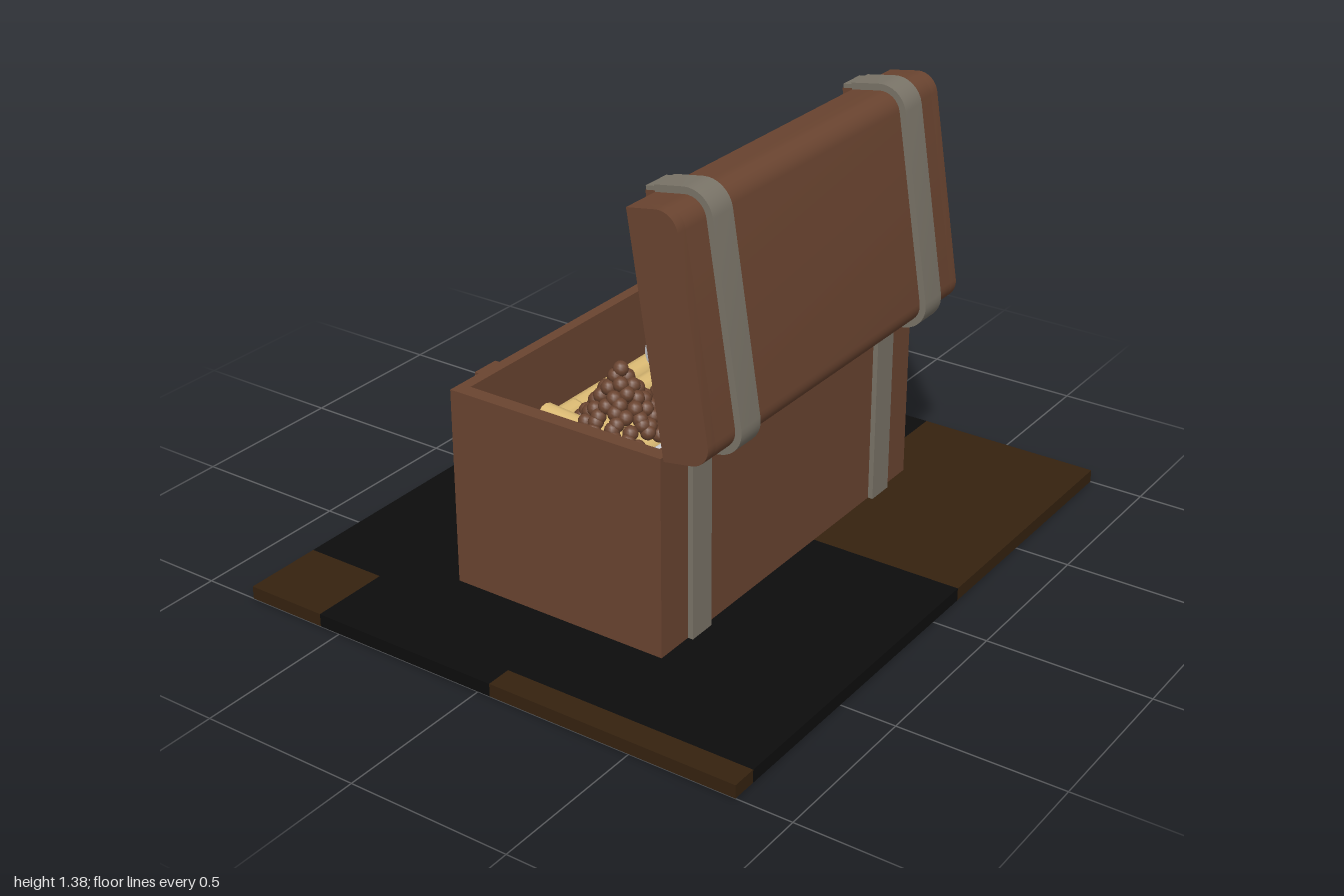
import * as THREE from 'three';
import { toCreasedNormals } from 'three/addons/utils/BufferGeometryUtils.js';

const material = (name, color) => {
  const m = new THREE.MeshStandardMaterial({ color });
  m.name = name;
  return m;
};

export function createModel() {
  const wood = material('wood', 0x6a4430);
  const darkWood = material('darkWood', 0x3a2416);
  const iron = material('iron', 0x7a7468);
  const gold = material('gold', 0xdcbb74);
  const silver = material('silver', 0xd6d8de);
  const earth = material('earth', 0x35220f);
  const black = material('black', 0x0d0d0d);

  const model = new THREE.Group();
  model.name = 'treasureChest';

  const add = (parent, name, geometry, mat, x = 0, y = 0, z = 0) => {
    const mesh = new THREE.Mesh(geometry, mat);
    mesh.name = name;
    mesh.position.set(x, y, z);
    parent.add(mesh);
    return mesh;
  };
  const addGroup = (parent, name, x = 0, y = 0, z = 0) => {
    const g = new THREE.Group();
    g.name = name;
    g.position.set(x, y, z);
    parent.add(g);
    return g;
  };
  const box = (w, h, d) => new THREE.BoxGeometry(w, h, d);
  let seed = 7;
  const random = () => (seed = (seed * 16807) % 2147483647) / 2147483647;

  // Ground slab, tiled from earth and black pieces: x0, x1, z0, z1
  const ground = addGroup(model, 'groundSlab');
  const tile = (mat) => ([x0, x1, z0, z1]) =>
    add(ground, 'slabPiece', box(x1 - x0, 0.04, z1 - z0), mat, (x0 + x1) / 2, 0.02, (z0 + z1) / 2);
  [[-0.83, -0.34, -1, -0.05], [0.24, 0.83, -1, -0.14],
    [-0.83, -0.57, 0.75, 1], [0.04, 0.83, 0.92, 1]].forEach(tile(earth));
  [[-0.34, 0.24, -1, -0.14], [-0.34, 0.83, -0.14, -0.05], [-0.83, 0.83, -0.05, 0.75],
    [-0.57, 0.83, 0.75, 0.92], [-0.57, 0.04, 0.92, 1]].forEach(tile(black));

  // Open chest body
  const body = addGroup(model, 'chestBody');
  const rect = (Type, w, d) => new Type([[-w, -d], [w, -d], [w, d], [-w, d]].map(([x, y]) => new THREE.Vector2(x, y)));
  const walls = rect(THREE.Shape, 0.355, 0.65);
  walls.holes.push(rect(THREE.Path, 0.32, 0.605));
  const wallGeometry = new THREE.ExtrudeGeometry(walls, { depth: 0.61, bevelEnabled: false });
  wallGeometry.rotateX(-Math.PI / 2);
  add(body, 'walls', wallGeometry, wood, 0, 0.05, 0);
  add(body, 'floor', box(0.64, 0.03, 1.21), wood, 0, 0.065, 0);
  for (const z of [-0.48, 0.48]) {
    for (const side of [-1, 1]) {
      add(body, 'bodyBand', box(0.016, 0.6, 0.09), iron, side * 0.363, 0.35, z);
      add(body, 'bandCap', box(0.016, 0.009, 0.09), wood, side * 0.363, 0.6545, z);
    }
    add(body, 'hinge', box(0.04, 0.025, 0.09), wood, 0.355, 0.665, z);
  }

  // Lid, leaning back from its hinge
  const lid = addGroup(model, 'lid', 0.365, 0.655, 0);
  lid.rotation.z = 0.16;
  const L = 0.695, T = 0.15, R = 0.06;
  const outline = (offset) => {
    const r = R + offset, cx = T - R, points = [new THREE.Vector2(0, -offset)];
    for (const [cy, start] of [[R, -Math.PI / 2], [L - R, 0]]) {
      for (let i = 0; i <= 8; i++) {
        const a = start + (i / 8) * Math.PI / 2;
        points.push(new THREE.Vector2(cx + r * Math.cos(a), cy + r * Math.sin(a)));
      }
    }
    points.push(new THREE.Vector2(0, L + offset));
    return points;
  };
  const slice = (points, depth) => {
    const g = new THREE.ExtrudeGeometry(new THREE.Shape(points), { depth, bevelEnabled: false });
    g.translate(0, 0, -depth / 2);
    return toCreasedNormals(g, 0.6);
  };
  const shell = (outer, inner, depth) => slice([...outline(outer), ...outline(inner).reverse()], depth);
  add(lid, 'lidShell', shell(0, -0.035, 1.23), wood);
  for (const s of [-1, 1]) {
    add(lid, 'lidEnd', slice(outline(0), 0.035), wood, 0, 0, s * 0.6325);
    add(lid, 'lidBand', shell(0.02, 0, 0.09), iron, 0, 0, s * 0.48);
    add(lid, 'claspPlate', box(0.03, 0.012, 0.09), iron, -0.012, L + 0.01, s * 0.48);
    add(lid, 'clasp', box(0.035, 0.025, 0.08), wood, -0.017, L - 0.01, s * 0.48);
  }

  // Painted crossed bones and skull on the -x side
  const emblem = addGroup(model, 'emblem', -0.355, 0.31, 0.0);
  emblem.rotation.y = -Math.PI / 2;
  const disc = (r) => new THREE.CylinderGeometry(r, r, 0.006, 16).rotateX(Math.PI / 2);
  const bone = (name, mat, angle, lift) => {
    const g = addGroup(emblem, name, 0, 0, lift);
    g.rotation.z = angle;
    add(g, 'shaft', box(0.4, 0.05, 0.006), mat);
    for (const s of [-1, 1]) for (const t of [-1, 1]) add(g, 'knob', disc(0.038), mat, s * 0.2, t * 0.032, 0);
  };
  bone('darkBone', darkWood, 0.5, 0.001);
  bone('lightBone', iron, -0.45, 0.002);
  add(emblem, 'skull', disc(0.085), iron, 0, 0.03, 0.003);
  add(emblem, 'jaw', box(0.09, 0.07, 0.006), iron, 0, -0.06, 0.003);
  for (const s of [-1, 1]) add(emblem, 'eye', disc(0.02), darkWood, s * 0.035, 0.03, 0.004);

  // Rows of ingots filling the chest
  const contents = addGroup(model, 'treasure');
  add(contents, 'goldFill', box(0.63, 0.34, 1.13), gold, 0, 0.25, 0.005);
  const ingot = new THREE.CylinderGeometry(0.038, 0.038, 0.182, 12).rotateX(Math.PI / 2);
  const silverSpots = ['0,0', '6,0', '3,3', '5,4', '0,5', '6,5'];
  for (let row = 0; row < 6; row++) {
    for (let col = 0; col < 8; col++) {
      const mat = silverSpots.includes(`${col},${row}`) ? silver : gold;
      add(contents, 'ingot', ingot, mat, -0.272 + col * 0.0755, 0.43, -0.457 + row * 0.187);
    }
  }

  // Three heaps of round nuggets and a few strays: x, z, peak height
  const nugget = new THREE.SphereGeometry(0.023, 12, 8);
  for (const [cx, cz, peak, count] of [[0.03, -0.31, 0.62, 75], [0.02, -0.04, 0.62, 95], [-0.03, 0.3, 0.675, 85]]) {
    for (let i = 0; i < count; i++) {
      const r = 0.14 * Math.sqrt(i / count), a = i * 2.4 + random() * 0.4;
      const y = 0.48 + (peak - 0.48) * (1 - r / 0.14);
      add(contents, 'nugget', nugget, wood, cx + r * Math.cos(a), y, cz + r * Math.sin(a));
    }
  }
  for (let i = 0; i < 30; i++) {
    add(contents, 'strayNugget', nugget, wood, -0.24 + 0.46 * random(), 0.485, -0.53 + 1.06 * random());
  }

  // Loose bars lying on top: name, material, radius, length, x, y, z, heading
  const bars = [
    ['ironBar', iron, 0.017, 0.18, 0.08, 0.62, -0.35, -0.45],
    ['ironBar', iron, 0.017, 0.18, -0.07, 0.6, -0.09, 0.35],
    ['ironBar', iron, 0.015, 0.14, 0.04, 0.665, -0.03, 0.7],
    ['silverBar', silver, 0.034, 0.17, -0.19, 0.5, -0.19, -0.5],
    ['silverBar', silver, 0.03, 0.16, -0.2, 0.49, -0.3, 0.2],
    ['silverBar', silver, 0.03, 0.13, 0.14, 0.5, -0.42, 1.3],
    ['goldBar', gold, 0.034, 0.17, -0.16, 0.5, 0.38, 1.45],
    ['goldBar', gold, 0.034, 0.16, 0.18, 0.5, 0.13, -1.1],
  ];
  for (const [name, mat, r, length, x, y, z, heading] of bars) {
    const g = new THREE.CylinderGeometry(r, r, length, 12).rotateX(Math.PI / 2);
    add(contents, name, g, mat, x, y, z).rotation.y = heading;
  }
  add(contents, 'ironPlate', box(0.09, 0.025, 0.24), iron, 0.15, 0.61, -0.07).rotation.y = -0.95;

  return model;
}
